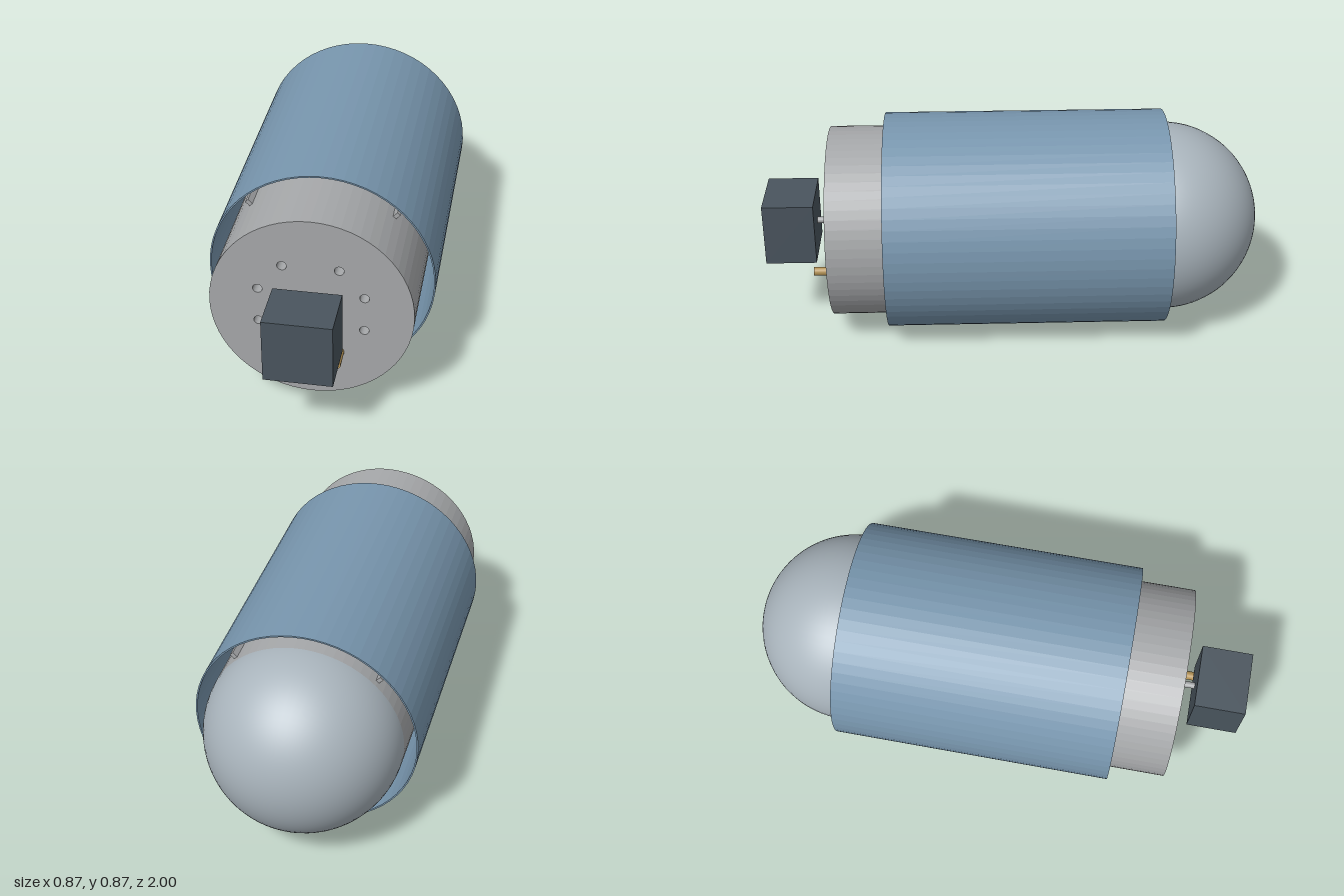
import * as THREE from 'three';

const CY = 0.44; // height of the long axis
const R = 0.384; // body radius
const BACK = -0.616, FRONT = 0.73; // ends of the cylindrical body

function part(name, geometry, color, x = 0, y = 0, z = 0, flat = true) {
  const material = new THREE.MeshStandardMaterial({ color, flatShading: flat });
  const mesh = new THREE.Mesh(geometry, material);
  mesh.name = name;
  mesh.position.set(x, y, z);
  return mesh;
}

// Cylinder lying along z between two z positions
function rod(name, r, z0, z1, color, x = 0, y = 0) {
  const geometry = new THREE.CylinderGeometry(r, r, z1 - z0, 24).rotateX(Math.PI / 2);
  return part(name, geometry, color, x, y, (z0 + z1) / 2, false);
}

export function createModel() {
  const model = new THREE.Group();
  model.name = 'capsule';
  model.position.y = CY;

  const grey = 0xa6a8aa, paleSteel = 0xa9b4bc, blue = 0x7896ae, dark = 0x4a555e, brass = 0xb39255;

  // Cylindrical body with six small ports in its front face
  const disc = new THREE.Shape().absarc(0, 0, R, 0, Math.PI * 2, false);
  for (const deg of [-20, 20, 60, 120, 160, 200]) {
    const a = THREE.MathUtils.degToRad(deg);
    disc.holes.push(new THREE.Path().absarc(0.212 * Math.cos(a), 0.212 * Math.sin(a), 0.018, 0, Math.PI * 2, true));
  }
  const bodyGeometry = new THREE.ExtrudeGeometry(disc, {
    depth: FRONT - BACK, bevelEnabled: false, curveSegments: 32,
  });
  model.add(part('body', bodyGeometry, grey, 0, 0, BACK));

  // Domed back end, closed by a flat disc behind the ports
  const domeGeometry = new THREE.SphereGeometry(R, 64, 24, 0, Math.PI * 2, 0, Math.PI / 2).rotateX(-Math.PI / 2);
  model.add(part('dome', domeGeometry, paleSteel, 0, 0, BACK, false));
  model.add(part('domeDisc', new THREE.CircleGeometry(R * 0.99, 64), paleSteel, 0, 0, BACK + 0.005));

  // Thin sleeve around the body, open at both ends
  const sleeveProfile = [[0.431, -0.616], [0.437, -0.616], [0.437, 0.507], [0.431, 0.507], [0.431, -0.616]]
    .map(([r, z]) => new THREE.Vector2(r, z));
  const sleeve = part('sleeve', new THREE.LatheGeometry(sleeveProfile, 64).rotateX(Math.PI / 2), blue);
  sleeve.material.side = THREE.DoubleSide;
  model.add(sleeve);

  // Four guide rails on the diagonals, between body and sleeve
  for (let i = 0; i < 4; i++) {
    const a = Math.PI / 4 + i * Math.PI / 2;
    const rail = part('rail', new THREE.BoxGeometry(0.05, 0.016, 1.07), grey, 0.382 * Math.cos(a), 0.382 * Math.sin(a), -0.055);
    rail.rotation.z = a;
    model.add(rail);
  }

  // Box carried on a short stem, and the brass pin below it
  model.add(rod('stem', 0.013, FRONT - 0.01, 0.8, grey));
  model.add(part('frontBox', new THREE.BoxGeometry(0.256, 0.256, 0.204), dark, 0, 0, 0.898));
  model.add(rod('pin', 0.018, FRONT - 0.01, 0.812, brass, 0.106, -0.182));

  const root = new THREE.Group();
  root.name = 'model';
  root.add(model);
  return root;
}
